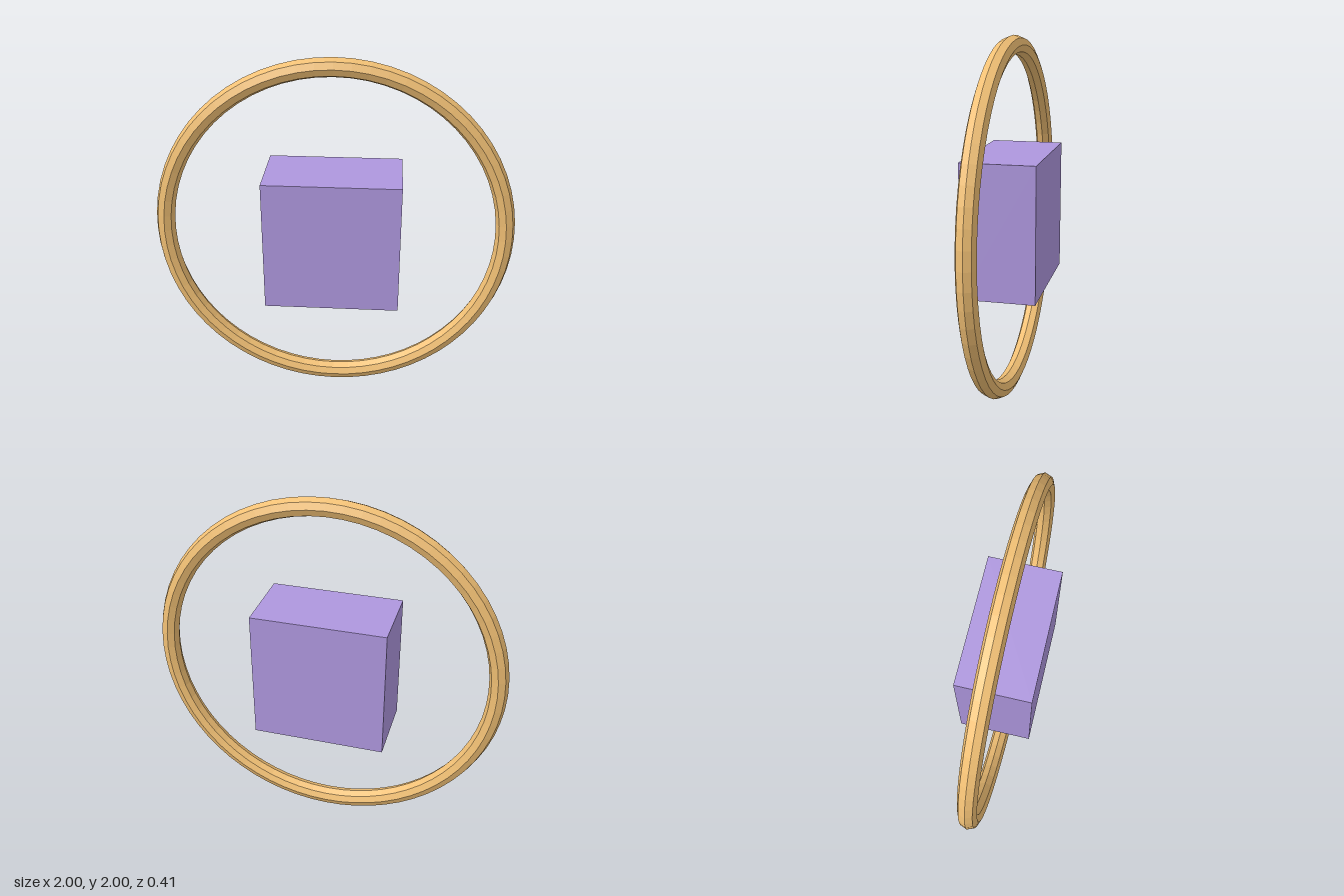
import * as THREE from 'three';

export function createModel() {
  const model = new THREE.Group();
  model.name = 'ringedBlock';

  const add = (name, geometry, color) => {
    const mesh = new THREE.Mesh(geometry, new THREE.MeshStandardMaterial({ color, flatShading: true }));
    mesh.name = name;
    mesh.position.y = 1;
    model.add(mesh);
  };

  // Upright hoop with an eight-sided section
  add('ring', new THREE.TorusGeometry(0.948, 0.052, 8, 64), 0xf0bf74);

  // Block floating at the centre of the hoop
  add('block', new THREE.BoxGeometry(0.743, 0.743, 0.408), 0xae97de);

  return model;
}
